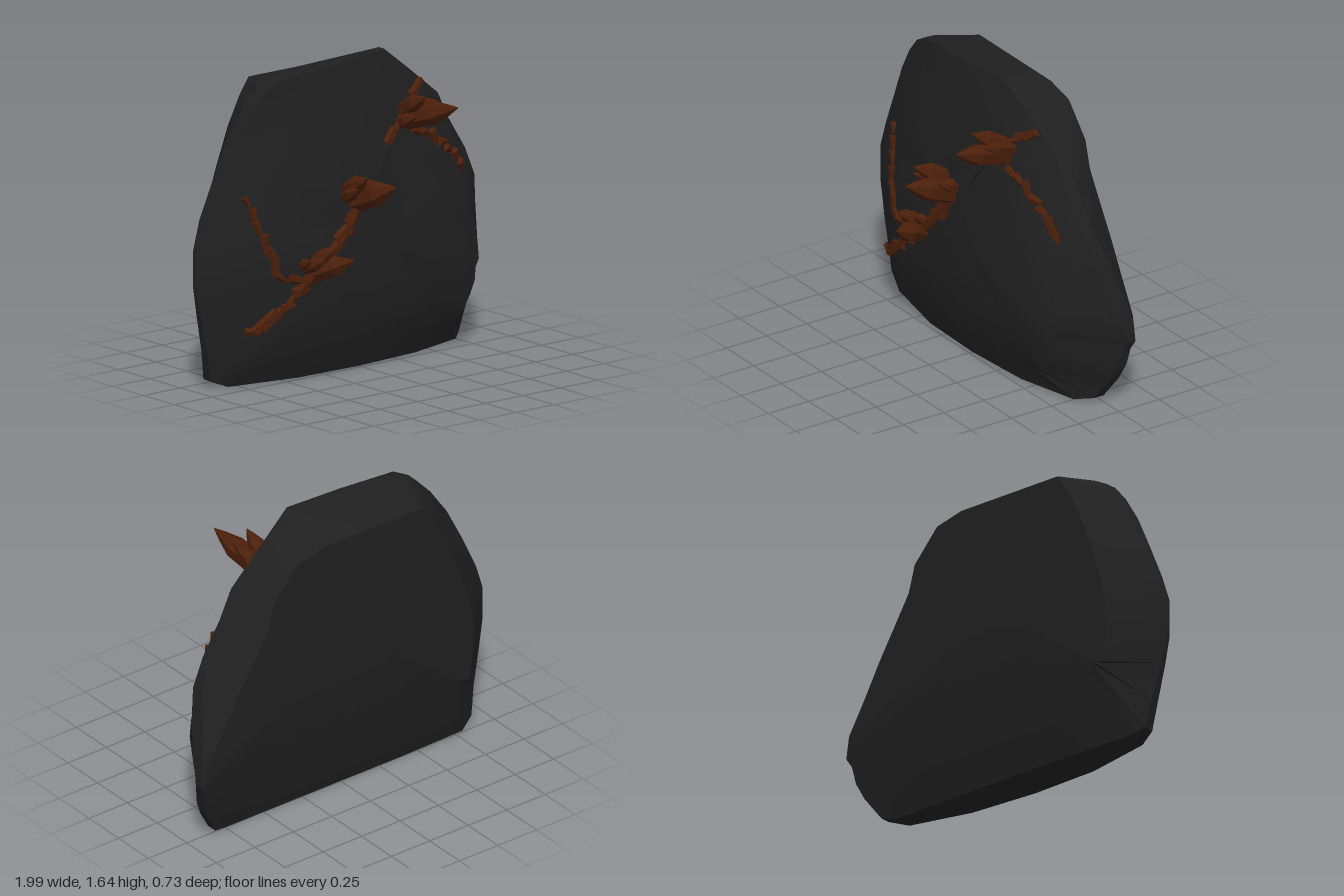
import * as THREE from 'three';
import { toCreasedNormals, mergeGeometries } from 'three/addons/utils/BufferGeometryUtils.js';

// rim of the slab: x, y, z of the rim's front edge, z of the rim's back edge
const RIM = [
  [-0.80, 0.00, -0.11, -0.24], [-0.89, 0.04, -0.14, -0.20], [-0.92, 0.20, -0.13, -0.18], [-0.97, 0.40, -0.13, -0.16],
  [-1.00, 0.55, -0.13, -0.15], [-1.00, 0.75, -0.13, -0.15], [-0.95, 0.90, -0.13, -0.16], [-0.86, 1.10, -0.12, -0.16],
  [-0.76, 1.30, -0.10, -0.16], [-0.66, 1.45, -0.08, -0.15], [-0.58, 1.54, -0.07, -0.13], [-0.49, 1.59, -0.06, -0.12],
  [-0.15, 1.61, -0.05, -0.11], [0.21, 1.64, -0.07, -0.11], [0.40, 1.50, -0.10, -0.15], [0.62, 1.33, -0.13, -0.17],
  [0.70, 1.18, -0.14, -0.19], [0.82, 1.00, -0.15, -0.20], [0.89, 0.85, -0.16, -0.24], [0.93, 0.68, -0.20, -0.30],
  [0.98, 0.50, -0.28, -0.35], [0.99, 0.37, -0.32, -0.36], [0.96, 0.32, -0.30, -0.35], [0.95, 0.23, -0.27, -0.33],
  [0.91, 0.14, -0.25, -0.31], [0.83, 0.02, -0.21, -0.27], [0.75, 0.00, -0.14, -0.25], [0.40, 0.00, -0.05, -0.25],
  [0.00, 0.00, -0.02, -0.25], [-0.40, 0.00, -0.03, -0.25],
];
const MID = 0.75;

function seeded(seed) {
  return () => {
    seed = (seed * 16807) % 2147483647;
    return seed / 2147483647;
  };
}

// recompute plain facet normals
function faceted(geometry) {
  const g = geometry.index ? geometry.toNonIndexed() : geometry;
  g.computeVertexNormals();
  return g;
}

// loops running from the flat back, over the rim, to the domed front
function rockGeometry() {
  const clamp = THREE.MathUtils.clamp;
  const inset = (s, z, top, side) => ([x, y]) => [
    x * s, MID + (y - MID) * s,
    z - top * Math.max((y - MID) / 0.85, 0) - side * Math.abs(x) + 0.007 * Math.sin(x * 7 + y * 5),
  ];
  // the back edge is drawn in along one side and along the upper part of the other
  const backX = (x, y) => (x < 0 ? x * 0.77 : x * 0.97 - 0.13 * Math.sin(Math.PI * clamp(y - 0.55, 0, 1)));
  const loops = [
    () => [0, 0.95, -0.37],
    ([x, y]) => [backX(x, y), clamp(y, 0.4, 1.54), -0.37],
    ([x, y, , zb]) => [x, y, zb],
    ([x, y, zf]) => [x, y, zf],
    inset(0.8, 0.04, 0.05, 0.05),
    inset(0.57, 0.072, 0.045, 0.02),
    inset(0.3, 0.077, 0.02, 0.01),
    () => [0, MID, 0.077],
  ];
  const n = RIM.length;
  const positions = loops.flatMap((f) => RIM.flatMap((p) => f(p)));
  const index = [];
  for (let k = 0; k < loops.length - 1; k++) {
    for (let i = 0; i < n; i++) {
      const j = (i + 1) % n;
      const a = k * n + i, b = k * n + j, c = a + n, d = b + n;
      if (k < loops.length - 2) index.push(a, c, d);
      if (k > 0) index.push(a, d, b);
    }
  }
  const g = new THREE.BufferGeometry();
  g.setAttribute('position', new THREE.Float32BufferAttribute(positions, 3));
  g.setIndex(index);
  return toCreasedNormals(g, 0.6);
}

// stout six-sided crystal from a base point to a tip
function crystal(base, tip, r) {
  const a = new THREE.Vector3(...base), dir = new THREE.Vector3(...tip).sub(a);
  const L = dir.length();
  const profile = [[0, 0], [0.9 * r, 0], [r, 0.6 * L], [0.5 * r, 0.82 * L], [0, L]];
  const g = new THREE.LatheGeometry(profile.map(([x, y]) => new THREE.Vector2(x, y)), 6);
  g.applyQuaternion(new THREE.Quaternion().setFromUnitVectors(new THREE.Vector3(0, 1, 0), dir.normalize()));
  g.translate(a.x, a.y, a.z);
  return faceted(g);
}

export function createModel() {
  const model = new THREE.Group();
  const stone = new THREE.MeshStandardMaterial({ color: 0x202020 });
  const rust = new THREE.MeshStandardMaterial({ color: 0x4c200b });
  stone.name = 'dark stone';
  rust.name = 'rust crystal';

  const add = (name, geometry, material) => {
    const mesh = new THREE.Mesh(geometry, material);
    mesh.name = name;
    model.add(mesh);
    return mesh;
  };
  const rock = add('rockSlab', rockGeometry(), stone);

  // height of the slab's front at x, y
  const ray = new THREE.Raycaster();
  const frontZ = (x, y) => {
    ray.set(new THREE.Vector3(x, y, 1), new THREE.Vector3(0, 0, -1));
    const hit = ray.intersectObject(rock)[0];
    return hit ? hit.point.z : -0.1;
  };

  // chain of angular shards set into the front along a path
  const rand = seeded(77);
  const vein = (name, path, count, length, width) => {
    const curve = new THREE.CatmullRomCurve3(path.map(([x, y]) => new THREE.Vector3(x, y, 0)));
    const shards = [];
    for (let i = 0; i < count; i++) {
      const t = (i + 0.5) / count;
      const p = curve.getPointAt(t), d = curve.getTangentAt(t);
      const size = 0.7 + 0.6 * rand();
      const g = new THREE.CylinderGeometry(0.6 + 0.3 * rand(), 1, 2, 5);
      g.rotateY(rand() * 6);
      g.rotateZ(-Math.PI / 2 + (rand() - 0.5) * 0.5);
      g.scale(length * size, width * size, 0.022);
      g.rotateZ(Math.atan2(d.y, d.x) + (rand() - 0.5) * 0.8);
      const dx = (rand() - 0.5) * width * 0.8;
      const slope = (frontZ(p.x + 0.03, p.y) - frontZ(p.x - 0.03, p.y)) / 0.06;
      g.rotateY(-Math.atan(slope));
      g.translate(p.x + dx, p.y, frontZ(p.x + dx, p.y) + 0.002);
      shards.push(faceted(g));
    }
    add(name, mergeGeometries(shards), rust);
  };
  vein('mainVeinLower', [[-0.77, 0.29], [-0.6, 0.38], [-0.45, 0.5], [-0.34, 0.59], [-0.2, 0.72], [-0.08, 0.86]], 16, 0.05, 0.034);
  vein('mainVeinUpper', [[0.17, 1.18], [0.27, 1.28], [0.36, 1.36], [0.47, 1.42]], 7, 0.042, 0.03);
  vein('rightFaceBranch', [[-0.745, 1.02], [-0.7, 0.87], [-0.65, 0.72], [-0.58, 0.58], [-0.46, 0.55]], 8, 0.034, 0.022);
  vein('leftFaceBranch', [[0.33, 1.2], [0.44, 1.17], [0.54, 1.11], [0.64, 1.03], [0.73, 0.91]], 7, 0.037, 0.026);

  // bare stone strip bridging the break in the main vein
  const strip = new THREE.Shape([
    [-0.03, 0.99], [0.08, 1.0], [0.12, 1.07], [0.19, 1.16], [0.16, 1.19], [0.1, 1.12], [0.06, 1.03], [-0.02, 1.02],
  ].map(([x, y]) => new THREE.Vector2(x, y)));
  const bridge = new THREE.ExtrudeGeometry(strip, { depth: 0.025, bevelEnabled: false });
  const pos = bridge.attributes.position;
  for (let i = 0; i < pos.count; i++) {
    pos.setZ(i, pos.getZ(i) - 0.01 + frontZ(pos.getX(i), pos.getY(i)));
  }
  add('stoneBridge', faceted(bridge), stone);

  // crystal clusters: base, tip, radius
  const clusters = {
    lowerCrystals: [
      [[-0.37, 0.55, 0.02], [-0.27, 0.66, 0.27], 0.055],
      [[-0.37, 0.6, 0.02], [-0.35, 0.71, 0.2], 0.04],
      [[-0.42, 0.58, 0.02], [-0.4, 0.67, 0.2], 0.035],
      [[-0.43, 0.6, 0.02], [-0.46, 0.66, 0.14], 0.03],
      [[-0.32, 0.63, 0.02], [-0.29, 0.7, 0.14], 0.03],
    ],
    middleCrystals: [
      [[-0.08, 0.89, 0.02], [-0.06, 1.03, 0.36], 0.065],
      [[-0.13, 0.95, 0.02], [-0.16, 1.07, 0.24], 0.048],
      [[-0.14, 0.92, 0.02], [-0.2, 1.01, 0.22], 0.035],
      [[-0.05, 0.94, 0.02], [-0.02, 1.01, 0.18], 0.04],
    ],
    upperCrystals: [
      [[0.31, 1.25, -0.04], [0.37, 1.38, 0.34], 0.06],
      [[0.3, 1.3, -0.04], [0.28, 1.42, 0.18], 0.045],
      [[0.27, 1.24, -0.04], [0.25, 1.31, 0.14], 0.038],
      [[0.35, 1.3, -0.04], [0.38, 1.38, 0.17], 0.038],
    ],
  };
  for (const [name, list] of Object.entries(clusters)) {
    add(name, mergeGeometries(list.map((c) => crystal(...c))), rust);
  }
  return model;
}
